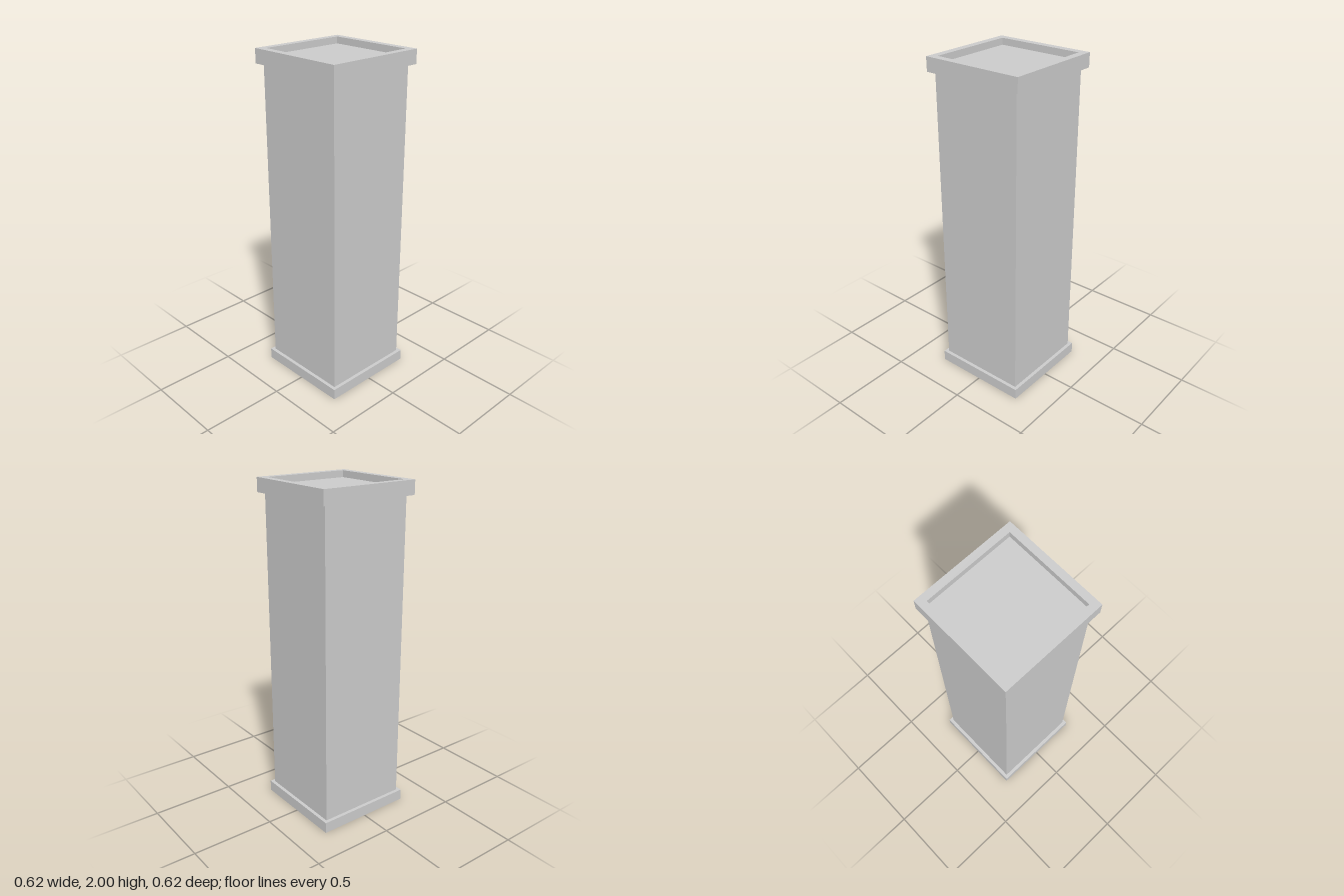
import * as THREE from 'three';

const material = new THREE.MeshStandardMaterial({ color: 0xcccccc, flatShading: true });
const thinMaterial = new THREE.MeshStandardMaterial({ color: 0xcccccc, flatShading: true, side: THREE.DoubleSide });

// Square outline centred on the origin
function square(half, Type = THREE.Shape) {
  const s = new Type();
  s.moveTo(-half, -half);
  s.lineTo(half, -half);
  s.lineTo(half, half);
  s.lineTo(-half, half);
  s.closePath();
  return s;
}

export function createModel() {
  const model = new THREE.Group();
  model.name = 'squarePedestal';

  const add = (name, geometry, mat = material) => {
    const mesh = new THREE.Mesh(geometry, mat);
    mesh.name = name;
    model.add(mesh);
  };

  const bodyHalf = 0.277, baseHalf = 0.298, capHalf = 0.308, openingHalf = 0.265;
  const baseTop = 0.067, bodyTop = 1.96, capBottom = 1.917, top = 2;

  // Tall shaft, whose top is the floor of the recess in the cap
  const shaft = new THREE.BoxGeometry(bodyHalf * 2, bodyTop - baseTop, bodyHalf * 2);
  shaft.translate(0, (bodyTop + baseTop) / 2, 0);
  add('shaft', shaft);

  // Raised frame around the top
  const frame = square(capHalf);
  frame.holes.push(square(openingHalf, THREE.Path));
  const cap = new THREE.ExtrudeGeometry(frame, { depth: top - capBottom, bevelEnabled: false });
  cap.rotateX(-Math.PI / 2);
  cap.translate(0, capBottom, 0);
  add('capFrame', cap);

  // Thin skirt, hollow underneath
  const radius = baseHalf * Math.SQRT2;
  const skirt = new THREE.CylinderGeometry(radius, radius, baseTop, 4, 1, true);
  skirt.rotateY(Math.PI / 4);
  skirt.translate(0, baseTop / 2, 0);
  add('baseSkirt', skirt, thinMaterial);

  // Ledge joining the skirt to the shaft
  const ledgeShape = square(baseHalf);
  ledgeShape.holes.push(square(bodyHalf, THREE.Path));
  const ledge = new THREE.ShapeGeometry(ledgeShape);
  ledge.rotateX(-Math.PI / 2);
  ledge.translate(0, baseTop, 0);
  add('baseLedge', ledge, thinMaterial);

  return model;
}
